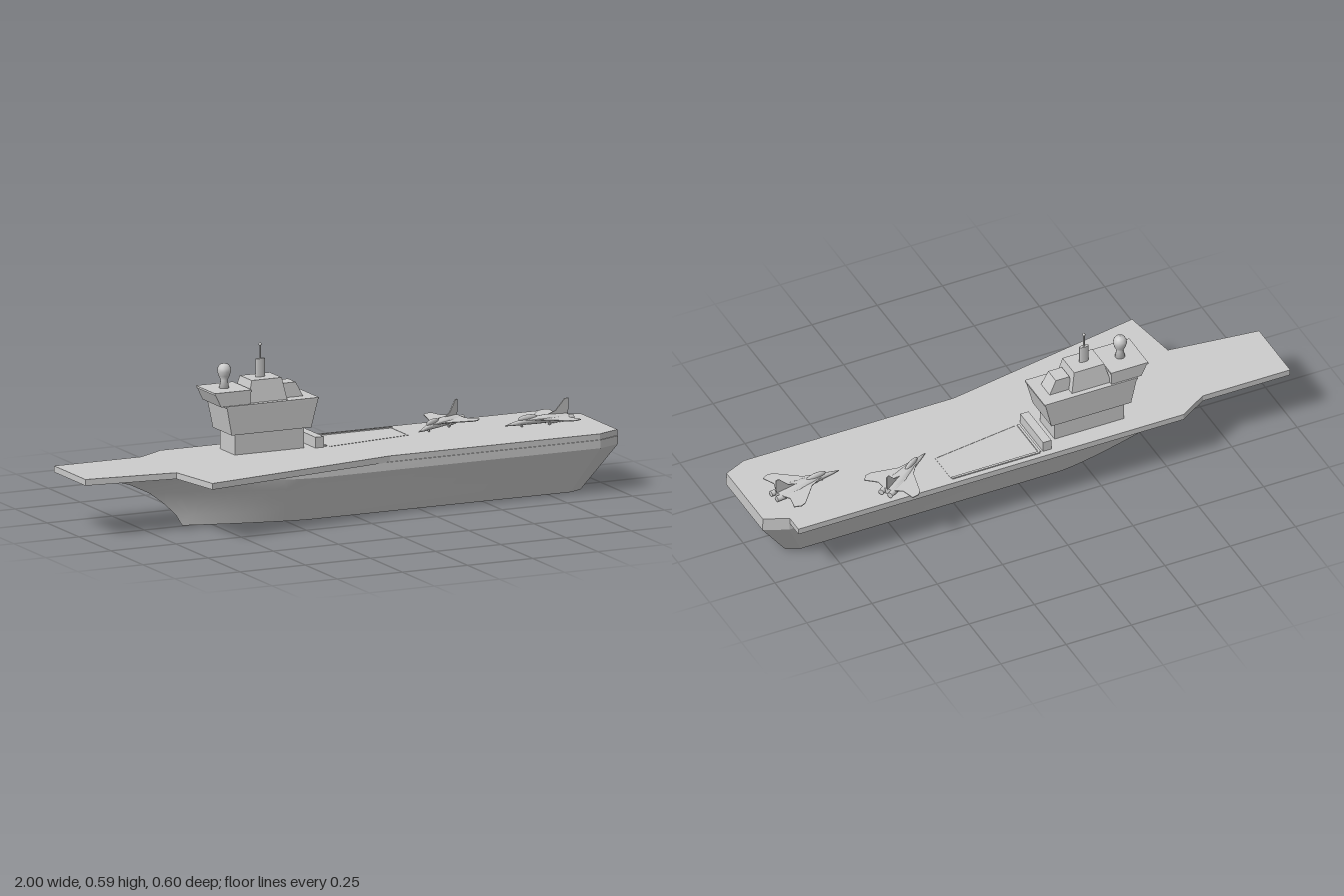
import * as THREE from 'three';
import { toCreasedNormals } from 'three/addons/utils/BufferGeometryUtils.js';

const grey = new THREE.MeshStandardMaterial({ color: 0xcccccc });
const thin = new THREE.MeshStandardMaterial({ color: 0xcccccc, side: THREE.DoubleSide });

function add(parent, name, geometry, x = 0, y = 0, z = 0, material = grey) {
  const mesh = new THREE.Mesh(geometry, material);
  mesh.name = name;
  mesh.position.set(x, y, z);
  parent.add(mesh);
  return mesh;
}

// Skin closed rings of [x, y, z] points and cap both ends
function loft(rings, crease = 0.4) {
  const n = rings[0].length, pos = [];
  const tri = (a, b, c) => pos.push(...a, ...b, ...c);
  for (let i = 0; i < rings.length - 1; i++) {
    for (let j = 0; j < n; j++) {
      const k = (j + 1) % n;
      const a = rings[i][j], b = rings[i][k], c = rings[i + 1][k], d = rings[i + 1][j];
      tri(a, b, c);
      tri(a, c, d);
    }
  }
  const cap = (ring, flip) => {
    const mid = [0, 1, 2].map(e => ring.reduce((s, p) => s + p[e], 0) / n);
    ring.forEach((p, j) => {
      const q = ring[(j + 1) % n];
      if (flip) tri(mid, q, p); else tri(mid, p, q);
    });
  };
  cap(rings[0], true);
  cap(rings[rings.length - 1], false);
  const g = new THREE.BufferGeometry();
  g.setAttribute('position', new THREE.Float32BufferAttribute(pos, 3));
  return toCreasedNormals(g, crease);
}

// Box whose bottom and top rectangles differ: [x0, x1, z0, z1]
function taperBox(bottom, top, y0, y1) {
  const ring = ([x0, x1, z0, z1], y) => [[x0, y, z1], [x1, y, z1], [x1, y, z0], [x0, y, z0]];
  return loft([ring(bottom, y0), ring(top, y1)], 0.1);
}

// Flat plate from an outline of [x, z], raised from y0 by the given thickness
function plate(points, thickness) {
  const shape = new THREE.Shape(points.map(([x, z]) => new THREE.Vector2(x, -z)));
  return new THREE.ExtrudeGeometry(shape, { depth: thickness, bevelEnabled: false }).rotateX(-Math.PI / 2);
}

// Hull: plan outlines stacked by height, flared bow and chamfered transom
function hullGeometry() {
  const levels = [[0, -0.6], [0.04, -0.625], [0.083, -0.67], [0.125, -0.725], [0.162, -0.8], [0.18, -0.86], [0.191, -0.92]];
  const cz = -0.008, shoulder = -0.16, steps = 10;
  return loft(levels.map(([y, bow]) => {
    const k = Math.min(y / 0.162, 1);
    const half = 0.107 + 0.075 * k, stern = 0.885 + 0.115 * k;
    const cutX = 0.05 + 0.035 * k, cutZ = 0.022 + 0.015 * k;
    const side = [];
    for (let i = 1; i <= steps; i++) {
      const t = 1 - i / steps;
      side.push([shoulder + (bow - shoulder) * t, half * (1 - Math.pow(t, 1.3))]);
    }
    side.push([stern - cutX, half], [stern, half - cutZ]);
    const port = side.map(([x, w]) => [x, y, cz + w]);
    const starboard = side.map(([x, w]) => [x, y, cz - w]).reverse();
    return [[bow, y, cz], ...port, ...starboard];
  }), 0.35);
}

// Twin-engined jet, nose at the origin, tail towards +x
function makeJet(name, x, z, heading) {
  const jet = new THREE.Group();
  jet.name = name;
  // [along, half width, half height, centre height]
  const sections = [[0, 0.001, 0.001, 0.012], [0.03, 0.006, 0.006, 0.014], [0.07, 0.011, 0.01, 0.017],
    [0.12, 0.02, 0.013, 0.018], [0.18, 0.028, 0.014, 0.018], [0.255, 0.026, 0.011, 0.016]];
  add(jet, 'fuselage', loft(sections.map(([u, w, h, c]) => {
    const ring = [];
    for (let i = 0; i < 16; i++) {
      const a = i / 16 * Math.PI * 2;
      ring.push([u, c + h * Math.cos(a), w * Math.sin(a)]);
    }
    return ring;
  }), 0.7));
  add(jet, 'canopy', new THREE.SphereGeometry(1, 16, 10).scale(0.04, 0.012, 0.009), 0.095, 0.029, 0);
  for (const s of [1, -1]) {
    const wing = [[0.08, 0.012], [0.13, 0.03], [0.205, 0.1], [0.225, 0.106], [0.25, 0.097], [0.235, 0.05], [0.25, 0.02]];
    add(jet, s > 0 ? 'leftWing' : 'rightWing', plate(wing.map(([u, w]) => [u, w * s]), 0.003), 0, 0.021, 0);
    const engine = new THREE.CylinderGeometry(0.012, 0.01, 0.1, 16).rotateZ(Math.PI / 2);
    add(jet, 'engine', engine, 0.22, 0.015, 0.018 * s);
    add(jet, 'wheel', new THREE.CylinderGeometry(0.005, 0.005, 0.005, 12).rotateX(Math.PI / 2), 0.17, 0.004, 0.022 * s);
  }
  add(jet, 'noseWheel', new THREE.CylinderGeometry(0.004, 0.004, 0.005, 12).rotateX(Math.PI / 2), 0.07, 0.004, 0);
  const fin = new THREE.Shape([[0.165, 0.028], [0.21, 0.042], [0.248, 0.08], [0.262, 0.08], [0.262, 0.04], [0.255, 0.018]]
    .map(([u, y]) => new THREE.Vector2(u, y)));
  add(jet, 'tailFin', new THREE.ExtrudeGeometry(fin, { depth: 0.004, bevelEnabled: false }), 0, 0, -0.002);
  jet.position.set(x, 0.212, z);
  jet.rotation.y = heading;
  return jet;
}

export function createModel() {
  const model = new THREE.Group();
  model.name = 'aircraftCarrier';

  add(model, 'hull', hullGeometry());

  // Flight deck with angled overhang
  const outline = [[-1, 0.05], [-0.67, 0.09], [-0.635, 0.3], [0.11, 0.17], [0.915, 0.17], [1, 0.132],
    [1, -0.155], [0.915, -0.192], [0.915, -0.26], [-0.56, -0.26], [-0.665, -0.195], [-1, -0.195]];
  add(model, 'flightDeck', plate(outline, 0.022), 0, 0.19, 0);

  // Island tower
  const island = new THREE.Group();
  island.name = 'island';
  model.add(island);
  const base = [-0.365, -0.1, -0.19, -0.076];
  add(island, 'towerBase', taperBox(base, base, 0.212, 0.287));
  add(island, 'bridge', taperBox([-0.385, -0.08, -0.207, -0.059], [-0.405, -0.055, -0.211, -0.055], 0.286, 0.386));
  const rim = [-0.409, -0.052, -0.212, -0.054];
  add(island, 'bridgeRoof', taperBox(rim, rim, 0.384, 0.39));
  add(island, 'forwardHouse', taperBox([-0.425, -0.31, -0.206, -0.06], [-0.447, -0.31, -0.206, -0.06], 0.389, 0.434));
  const roof = [-0.45, -0.308, -0.208, -0.058];
  add(island, 'forwardRoof', taperBox(roof, roof, 0.433, 0.44));
  add(island, 'centreHouse', taperBox([-0.315, -0.165, -0.193, -0.073], [-0.295, -0.18, -0.18, -0.087], 0.389, 0.466));
  add(island, 'aftHouse', taperBox([-0.18, -0.092, -0.167, -0.099], [-0.17, -0.118, -0.163, -0.103], 0.389, 0.441));

  // Radar dome and mast
  const dome = [[0, 0.438], [0.018, 0.438], [0.012, 0.468], [0.019, 0.482], [0.024, 0.498], [0.023, 0.51],
    [0.016, 0.522], [0, 0.527]].map(([r, y]) => new THREE.Vector2(r, y));
  add(island, 'radarDome', new THREE.LatheGeometry(dome, 20), -0.378, 0, -0.133);
  add(island, 'mast', new THREE.CylinderGeometry(1, 1, 0.066, 20).scale(0.018, 1, 0.007), -0.24, 0.497, -0.133);
  add(island, 'mastPole', new THREE.CylinderGeometry(0.003, 0.003, 0.055, 10), -0.24, 0.555, -0.133);
  add(island, 'mastTip', new THREE.SphereGeometry(0.0055, 12, 8), -0.24, 0.58, -0.133);

  // Deck lift screen, edge rail and marking strips
  add(model, 'deckHouse', new THREE.BoxGeometry(0.032, 0.038, 0.18), -0.05, 0.231, -0.145);
  add(model, 'liftRail', new THREE.BoxGeometry(0.335, 0.004, 0.009), 0.147, 0.214, -0.235);
  add(model, 'liftRailEnd', new THREE.BoxGeometry(0.009, 0.004, 0.17), -0.021, 0.214, -0.15);
  const strip = [[-0.01, -0.064], [-0.01, -0.054], [0.318, -0.1], [0.318, -0.23], [0.31, -0.23], [0.31, -0.108]];
  add(model, 'liftEdge', plate(strip, 0.001), 0, 0.212, 0, thin);

  model.add(makeJet('innerJet', 0.342, -0.08, 0.587));
  model.add(makeJet('outerJet', 0.652, -0.037, 0.14));
  return model;
}
